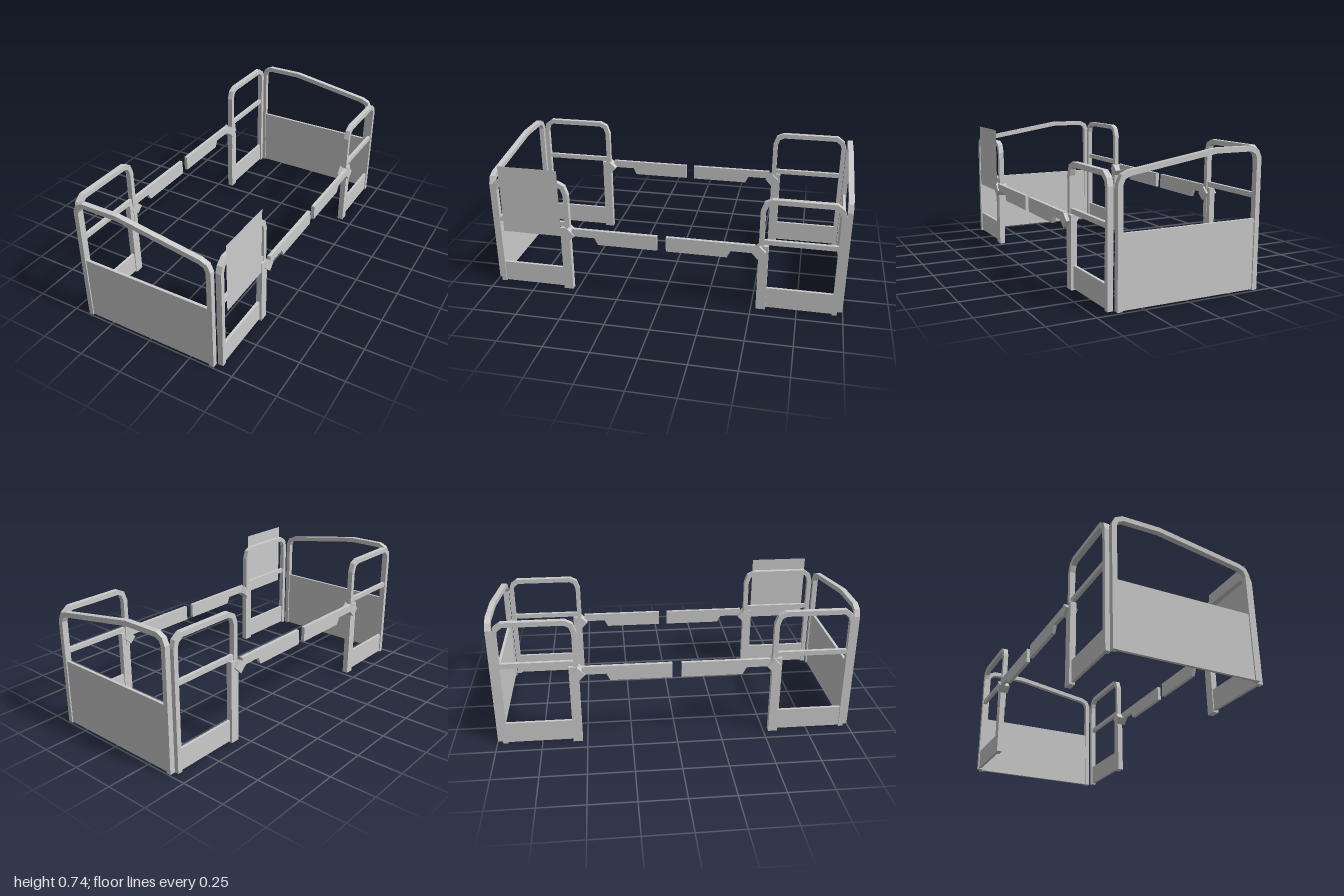
import * as THREE from 'three';

const material = new THREE.MeshStandardMaterial({ color: 0xcccccc, flatShading: true });
const W = 0.027; // bar width

function add(parent, name, geometry, x = 0, y = 0, z = 0) {
  const mesh = new THREE.Mesh(geometry, material);
  mesh.name = name;
  mesh.position.set(x, y, z);
  parent.add(mesh);
  return mesh;
}

// Box given by its limits on each axis
function span(parent, name, [x0, x1], [y0, y1], [z0, z1]) {
  const g = new THREE.BoxGeometry(Math.abs(x1 - x0), y1 - y0, Math.abs(z1 - z0));
  return add(parent, name, g, (x0 + x1) / 2, (y0 + y1) / 2, (z0 + z1) / 2);
}

// Extruded flat outline, centred on its depth
function plate(points, depth) {
  const shape = new THREE.Shape(points.map(([x, y]) => new THREE.Vector2(x, y)));
  const g = new THREE.ExtrudeGeometry(shape, { depth, bevelEnabled: false });
  return g.translate(0, 0, -depth / 2);
}

// Square bar that follows an outer outline, with mitred bends
function bentBar(outer, depth) {
  const p = outer.map(([x, y]) => new THREE.Vector2(x, y));
  const normal = (a, b) => new THREE.Vector2(b.y - a.y, a.x - b.x).normalize();
  const inner = p.map((q, i) => {
    const n0 = normal(p[Math.max(i - 1, 0)], p[Math.max(i, 1)]);
    const last = p.length - 1;
    const n1 = normal(p[Math.min(i, last - 1)], p[Math.min(i + 1, last)]);
    const m = n0.clone().add(n1).normalize();
    const r = q.clone().addScaledVector(m, W / m.dot(n0));
    return [r.x, r.y];
  });
  return plate([...outer, ...inner.reverse()], depth);
}

// Head and foot boards: sloping arch with an infill panel
function endBoard(sz) {
  const g = new THREE.Group();
  g.name = sz > 0 ? 'frontBoard' : 'backBoard';
  const arch = [[-0.407, 0.005], [-0.407, 0.682], [-0.39, 0.72], [-0.35, 0.74],
    [-0.14, 0.74], [0.335, 0.663], [0.375, 0.645], [0.393, 0.605], [0.393, 0.005]];
  add(g, 'endArch', bentBar(arch, 0.03), 0, 0, sz * 0.983);
  span(g, 'endPanel', [-0.382, 0.368], [0.008, 0.375], [sz * 0.975, sz * 0.991]);
  return g;
}

// Side guard at one corner, with post, hinge and half of the long rail
function sideGuard(sx, sz) {
  const g = new THREE.Group();
  g.name = (sz > 0 ? 'front' : 'back') + (sx > 0 ? 'Left' : 'Right') + 'Guard';
  const lift = sx > 0 ? 0 : 0.075; // one long side is higher
  const top = 0.66 + lift;
  const sideways = (name, geometry, x) => {
    add(g, name, geometry, sx * x).rotation.y = -Math.PI / 2;
  };

  // Arch, drawn from the outer leg to the inner leg
  const arch = [[0.967, 0.005], [0.967, top - 0.07], [0.955, top - 0.03], [0.915, top],
    [0.585, top], [0.545, top - 0.02], [0.527, top - 0.07], [0.527, 0.3]];
  // Reversing keeps the bar inside the outline on either end
  const outline = arch.map(([z, y]) => [z * sz, y]);
  sideways('guardArch', bentBar(sz > 0 ? outline.reverse() : outline, 0.03), 0.415);

  span(g, 'guardCrossbar', [sx * 0.406, sx * 0.426],
    [0.395 + lift, 0.422 + lift], [sz * 0.545, sz * 0.945]);
  span(g, 'guardPanel', [sx * 0.408, sx * 0.424], [0.01, 0.13], [sz * 0.575, sz * 0.945]);
  span(g, 'post', [sx * 0.403, sx * 0.436], [0, 0.39 + lift], [sz * 0.527, sz * 0.58]);

  const hinge = add(g, 'hinge', new THREE.BoxGeometry(0.065, 0.058, 0.05),
    sx * 0.4225, 0.356 + lift, sz * 0.53);
  hinge.rotation.x = sz * Math.PI / 4;

  const rail = [[0.025, 0.395], [0.025, 0.31], [0.36, 0.31], [0.38, 0.35],
    [0.51, 0.35], [0.51, 0.395]];
  sideways('sideRail', plate(rail.map(([z, y]) => [z * sz, y + lift]), 0.02), 0.437);
  return g;
}

export function createModel() {
  const model = new THREE.Group();
  model.name = 'bedFrame';
  for (const sz of [1, -1]) {
    model.add(endBoard(sz));
    for (const sx of [1, -1]) model.add(sideGuard(sx, sz));
  }

  // Thin sheet on the outside of one guard
  const sheet = add(model, 'sheet', new THREE.PlaneGeometry(0.34, 0.395), 0.431, 0.5325, 0.75);
  sheet.rotation.y = Math.PI / 2;
  sheet.material = material.clone();
  sheet.material.side = THREE.DoubleSide;
  return model;
}
